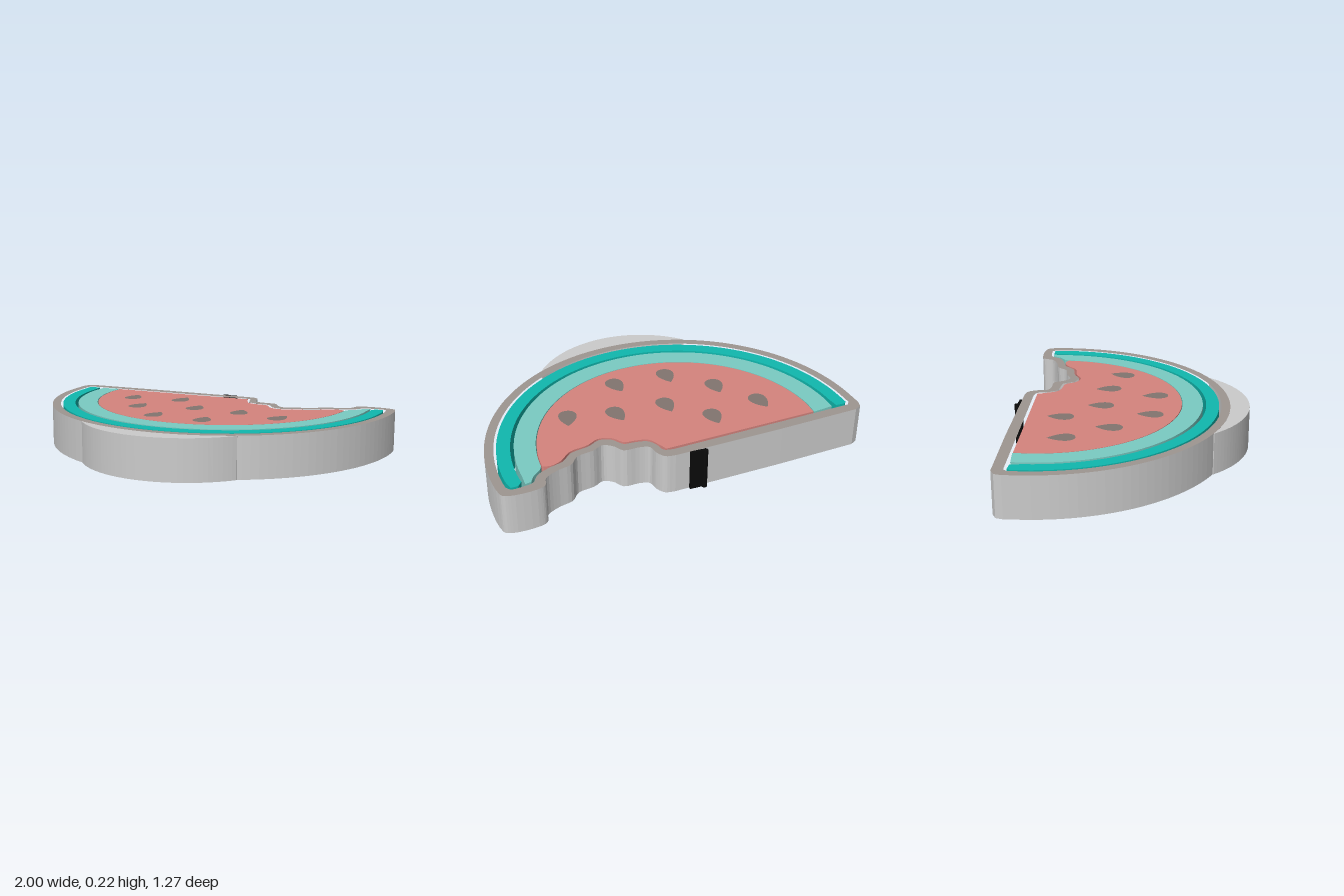
import * as THREE from 'three';

const H = 0.225;   // common thickness
const CZ = -0.47;  // z of the centre shared by all rind arcs

// Arc from the +x side round the front (+z) to the -x side
function arc(r, a0 = 0, a1 = Math.PI, cz = CZ, n = 72) {
  return Array.from({ length: n + 1 }, (_, i) => {
    const a = a0 + (a1 - a0) * i / n;
    return [r * Math.cos(a), cz + r * Math.sin(a)];
  });
}

// Smooth open curve through plan points
function smooth(pts, n = 64) {
  return new THREE.CatmullRomCurve3(pts.map(([x, z]) => new THREE.Vector3(x, 0, z)), false, 'centripetal')
    .getPoints(n).map(p => [p.x, p.z]);
}

const toV2 = pts => pts.map(([x, z]) => new THREE.Vector2(x, -z));

// Upright slab from a plan outline of [x, z] points
function slab(name, outline, color, holes = [], sideColor = color) {
  const shape = new THREE.Shape(toV2(outline));
  shape.holes = holes.map(h => new THREE.Path(toV2(h)));
  const geo = new THREE.ExtrudeGeometry(shape, { depth: H, bevelEnabled: false });
  geo.rotateX(-Math.PI / 2);
  const mesh = new THREE.Mesh(geo, [color, sideColor].map(c => new THREE.MeshStandardMaterial({ color: c })));
  mesh.name = name;
  return mesh;
}

// Teardrop with its tip towards the back
function seedOutline(x, z, turn) {
  const pts = [];
  for (let i = 0; i < 28; i++) {
    const t = i / 28 * Math.PI * 2;
    const px = 0.062 * Math.sin(t) * Math.pow(Math.sin(t / 2), 0.9);
    const pz = -0.072 * Math.cos(t);
    pts.push([x + px * Math.cos(turn) - pz * Math.sin(turn), z + px * Math.sin(turn) + pz * Math.cos(turn)]);
  }
  return pts;
}

export function createModel() {
  const model = new THREE.Group();
  model.name = 'watermelonSlice';

  // Outer rim with the bitten back edge
  const biteOuter = smooth([[0.1, -0.607], [0.15, -0.595], [0.178, -0.55], [0.19, -0.49], [0.24, -0.472],
    [0.32, -0.465], [0.355, -0.41], [0.4, -0.38], [0.46, -0.405], [0.55, -0.42], [0.6, -0.47],
    [0.68, -0.49], [0.75, -0.525], [0.77, -0.575], [0.81, -0.592], [0.94, -0.59], [0.985, -0.57], [0.998, -0.52]]);
  const biteInner = smooth([[0.09, -0.555], [0.135, -0.54], [0.15, -0.485], [0.18, -0.44], [0.24, -0.422],
    [0.3, -0.412], [0.34, -0.355], [0.4, -0.332], [0.47, -0.362], [0.57, -0.38], [0.63, -0.43],
    [0.71, -0.452], [0.78, -0.485], [0.82, -0.535], [0.87, -0.543], [0.93, -0.543], [0.95, -0.52]]);
  const outer = [...arc(1), [-1, -0.56], [-0.988, -0.598], [-0.95, -0.617], [-0.5, -0.617], ...biteOuter];
  const inner = [...arc(0.953), [-0.953, -0.54], [-0.935, -0.56], ...biteInner];
  model.add(slab('rim', outer, 0x9e9691, [inner], 0xcccccc));

  // Crescent bulge in front of the rim
  const a = Math.acos(0.44 / 0.578), b = Math.acos(0.44);
  model.add(slab('frontBulge', [...arc(0.578, a, Math.PI - a, 0.057, 40),
    ...arc(1, Math.PI - b, b, CZ, 40)], 0xcccccc));

  // Dark outer rind and pale inner rind
  model.add(slab('outerRind', [...arc(0.94), [-0.94, -0.53], [-0.925, -0.545], [-0.875, -0.54],
    ...arc(0.87, Math.PI, 0), [0.868, -0.505], [0.89, -0.53], [0.93, -0.53]], 0x10b8ae));
  model.add(slab('innerRind', [...arc(0.852), [-0.848, -0.54], [-0.735, -0.548],
    ...arc(0.742, Math.PI, 0.06), [0.755, -0.45], [0.8, -0.485], [0.825, -0.525], [0.857, -0.53]], 0x7acbc3));

  // Flesh pierced by the seeds
  const seeds = [[-0.525, -0.335, -0.12], [-0.23, -0.37, 0.06], [-0.375, -0.105, 0.08], [-0.05, -0.17, 0],
    [0.225, -0.145, -0.15], [0.475, -0.08, 0.3], [-0.175, 0.1, 0.05], [0.12, 0.12, -0.1]]
    .map(s => seedOutline(...s));
  const biteFlesh = smooth([[0.12, -0.538], [0.14, -0.485], [0.17, -0.43], [0.23, -0.41], [0.29, -0.4],
    [0.335, -0.342], [0.4, -0.32], [0.47, -0.35], [0.57, -0.367], [0.635, -0.42], [0.69, -0.44], [0.73, -0.432]]);
  model.add(slab('flesh', [...arc(0.738, 0.06), [-0.732, -0.545], ...biteFlesh], 0xd5847e, seeds));
  seeds.forEach((s, i) => model.add(slab(`seed${i + 1}`, s, 0x82756f)));

  // Small dark tab on the back edge
  const bead = arc(0.014, 0, Math.PI * 2, -0.626, 16).slice(0, -1).map(([x, z]) => [x - 0.055, z]);
  model.add(slab('backTabBead', bead, 0x0a0a0a));
  model.add(slab('backTabStrip', [[-0.045, -0.612], [0.022, -0.608], [0.022, -0.622], [-0.045, -0.626]], 0x0a0a0a));

  return model;
}
